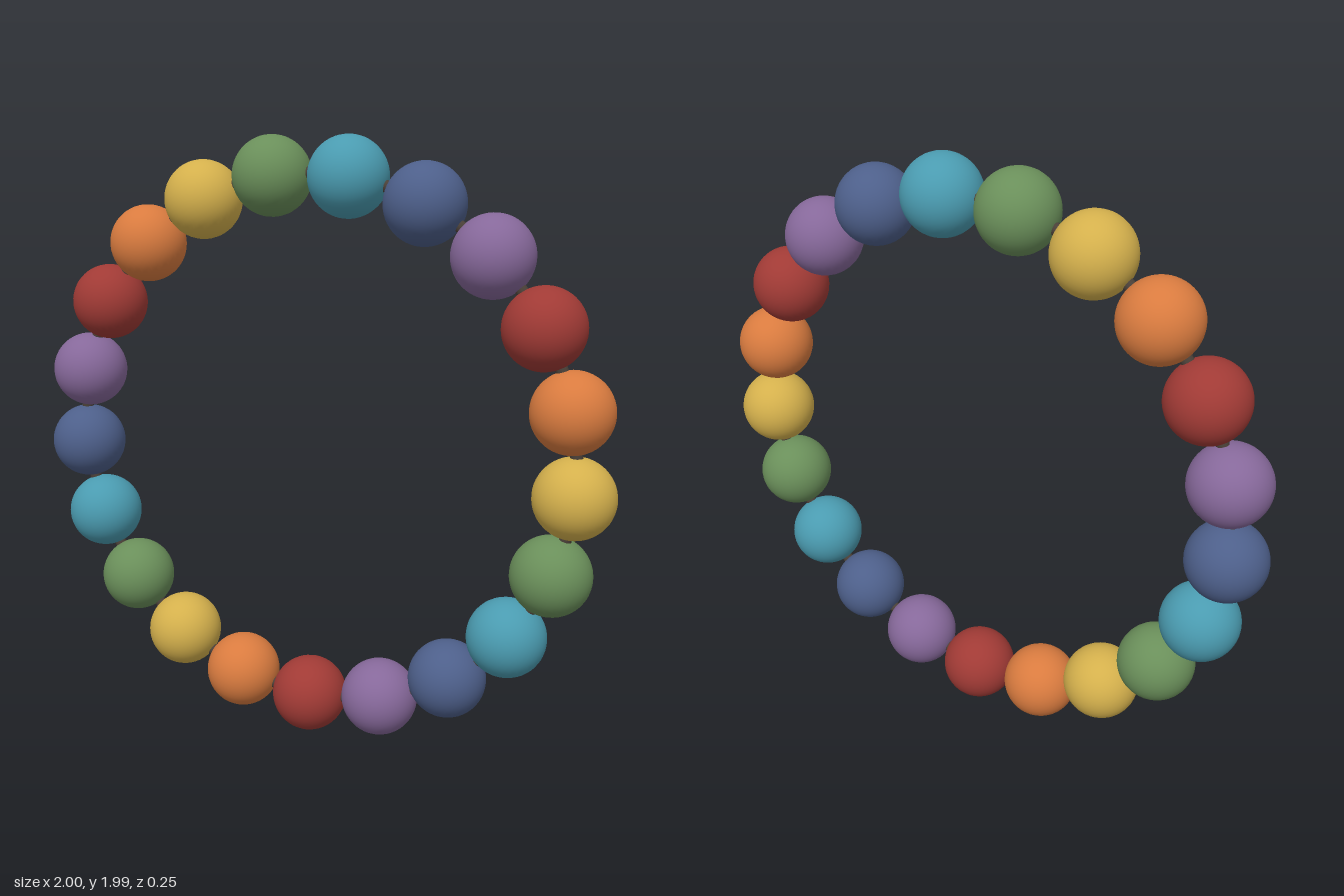
import * as THREE from 'three';

const BEADS = 21, RING = 0.875, BEAD = 0.127, CENTER_Y = 1.005;

const COLORS = [
  ['red', 0xa03a35], ['purple', 0x86689a], ['blue', 0x4d5f8a], ['teal', 0x4a9bb0],
  ['green', 0x6a8f5a], ['yellow', 0xd4b04c], ['orange', 0xd97b3f],
];

function material(name, color) {
  const m = new THREE.MeshStandardMaterial({ color });
  m.name = name;
  return m;
}

export function createModel() {
  const group = new THREE.Group();
  group.name = 'beadBracelet';
  const materials = COLORS.map(([name, hex]) => material(name, hex));

  // Thin cord threaded through all beads
  const cord = new THREE.Mesh(new THREE.TorusGeometry(RING, 0.02, 10, 126), material('darkCord', 0x4a4038));
  cord.name = 'cord';
  cord.position.y = CENTER_Y;
  group.add(cord);

  // Beads run counterclockwise from the bottom, repeating seven colours
  const ball = new THREE.SphereGeometry(BEAD, 40, 28);
  for (let i = 0; i < BEADS; i++) {
    const a = -Math.PI / 2 + (i / BEADS) * Math.PI * 2;
    const bead = new THREE.Mesh(ball, materials[i % materials.length]);
    bead.name = `bead${i + 1}`;
    bead.position.set(RING * Math.cos(a), CENTER_Y + RING * Math.sin(a), 0);
    bead.rotation.z = a; // pole axis follows the cord
    group.add(bead);
  }
  return group;
}
